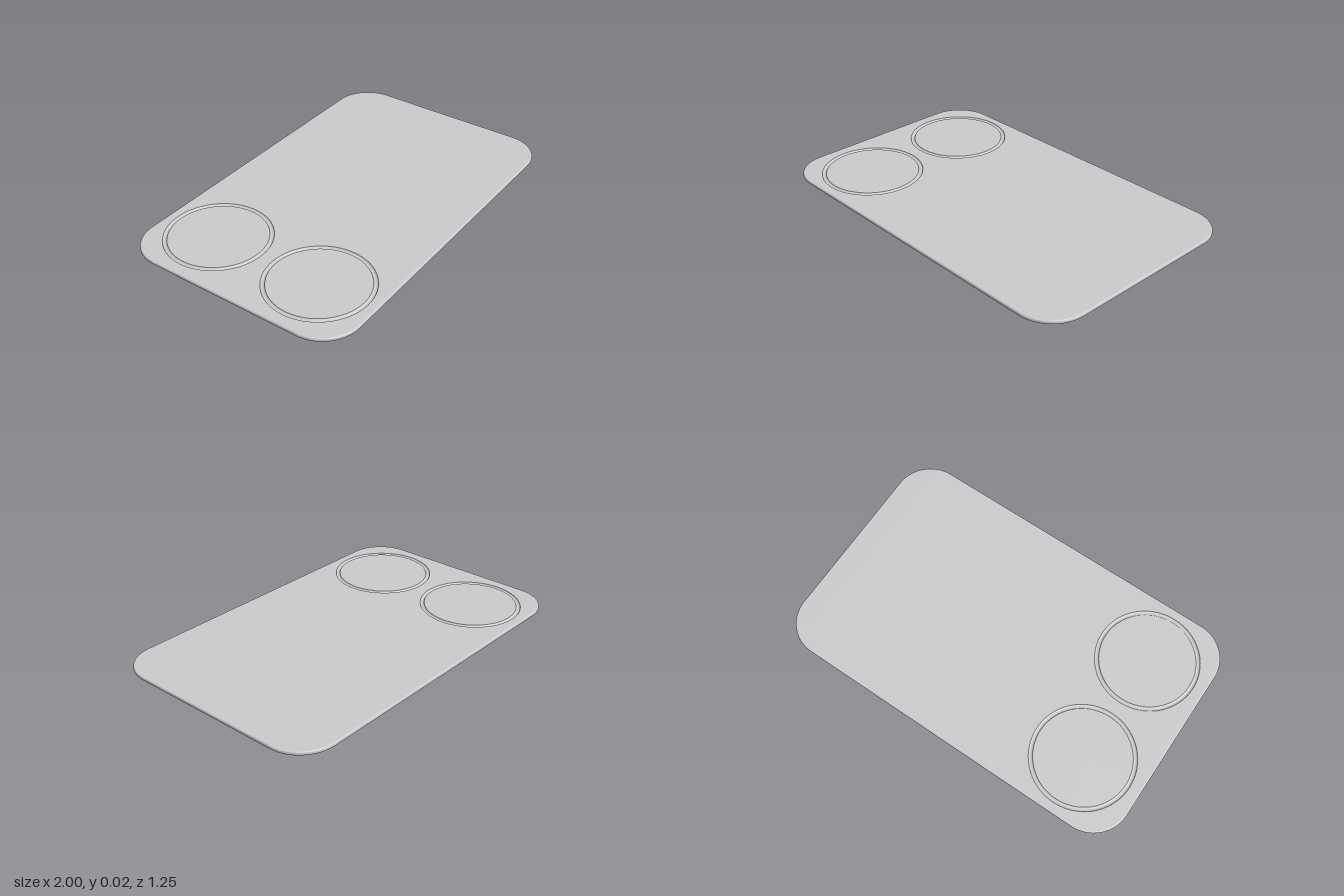
import * as THREE from 'three';

const HALF_X = 1, HALF_Z = 0.627, CORNER = 0.2, THICK = 0.021, EDGE = 0.008;
const RING_X = -0.667, RING_Z = 0.307, RING_OUT = 0.272, RING_IN = 0.25, DEPTH = 0.008;

// Rounded-rectangle outline, moved inwards by `inset`
function outline(inset) {
  const pts = [], n = 24, r = CORNER - inset;
  const centres = [[1, 1], [-1, 1], [-1, -1], [1, -1]];
  centres.forEach(([sx, sy], q) => {
    for (let i = 0; i <= n; i++) {
      const a = (q + i / n) * Math.PI / 2;
      pts.push(new THREE.Vector2(
        sx * (HALF_X - CORNER) + r * Math.cos(a),
        sy * (HALF_Z - CORNER) + r * Math.sin(a)));
    }
  });
  return pts;
}

// Rounded side band: outlines stacked along a profile with soft corners
function rimGeometry() {
  const profile = [], steps = 6;
  for (const [cy, start] of [[EDGE, -Math.PI / 2], [THICK - EDGE, 0]]) {
    for (let i = 0; i <= steps; i++) {
      const a = start + i / steps * Math.PI / 2;
      profile.push([EDGE * (1 - Math.cos(a)), cy + EDGE * Math.sin(a)]);
    }
  }
  const pos = [], index = [];
  const count = outline(0).length;
  profile.forEach(([inset, y]) => outline(inset).forEach(p => pos.push(p.x, y, -p.y)));
  for (let j = 0; j < profile.length - 1; j++) {
    for (let i = 0; i < count; i++) {
      const k = (i + 1) % count;
      const a = j * count + i, b = j * count + k, c = a + count, d = b + count;
      index.push(a, b, d, a, d, c);
    }
  }
  const g = new THREE.BufferGeometry();
  g.setAttribute('position', new THREE.Float32BufferAttribute(pos, 3));
  g.setIndex(index);
  g.computeVertexNormals();
  return g;
}

export function createModel() {
  const model = new THREE.Group();
  const material = new THREE.MeshStandardMaterial({ color: 0xcccccc });
  const add = (name, geometry, x = 0, y = 0, z = 0) => {
    const mesh = new THREE.Mesh(geometry, material);
    mesh.name = name;
    mesh.position.set(x, y, z);
    model.add(mesh);
  };

  // Tray body: rim, underside, and top with two round openings
  add('roundedRim', rimGeometry());
  const base = new THREE.Shape(outline(EDGE));
  add('underside', new THREE.ShapeGeometry(base).rotateX(Math.PI / 2));
  const top = new THREE.Shape(outline(EDGE));
  for (const s of [-1, 1]) {
    const hole = new THREE.Path();
    hole.absarc(RING_X, s * RING_Z, RING_OUT, 0, Math.PI * 2, true);
    top.holes.push(hole);
  }
  add('topSurface', new THREE.ShapeGeometry(top, 48).rotateX(-Math.PI / 2), 0, THICK, 0);

  // Circular grooves with a flat disc inside each
  const mid = (RING_OUT + RING_IN) / 2, half = (RING_OUT - RING_IN) / 2;
  const groove = [];
  for (let i = 0; i <= 10; i++) {
    const a = i / 10 * Math.PI;
    groove.push(new THREE.Vector2(mid + half * Math.cos(a), -DEPTH * Math.sin(a)));
  }
  for (const [side, s] of [['front', 1], ['back', -1]]) {
    add(side + 'Groove', new THREE.LatheGeometry(groove, 96), RING_X, THICK, s * RING_Z);
    add(side + 'Disc', new THREE.CircleGeometry(RING_IN, 96).rotateX(-Math.PI / 2),
      RING_X, THICK, s * RING_Z);
  }
  return model;
}
